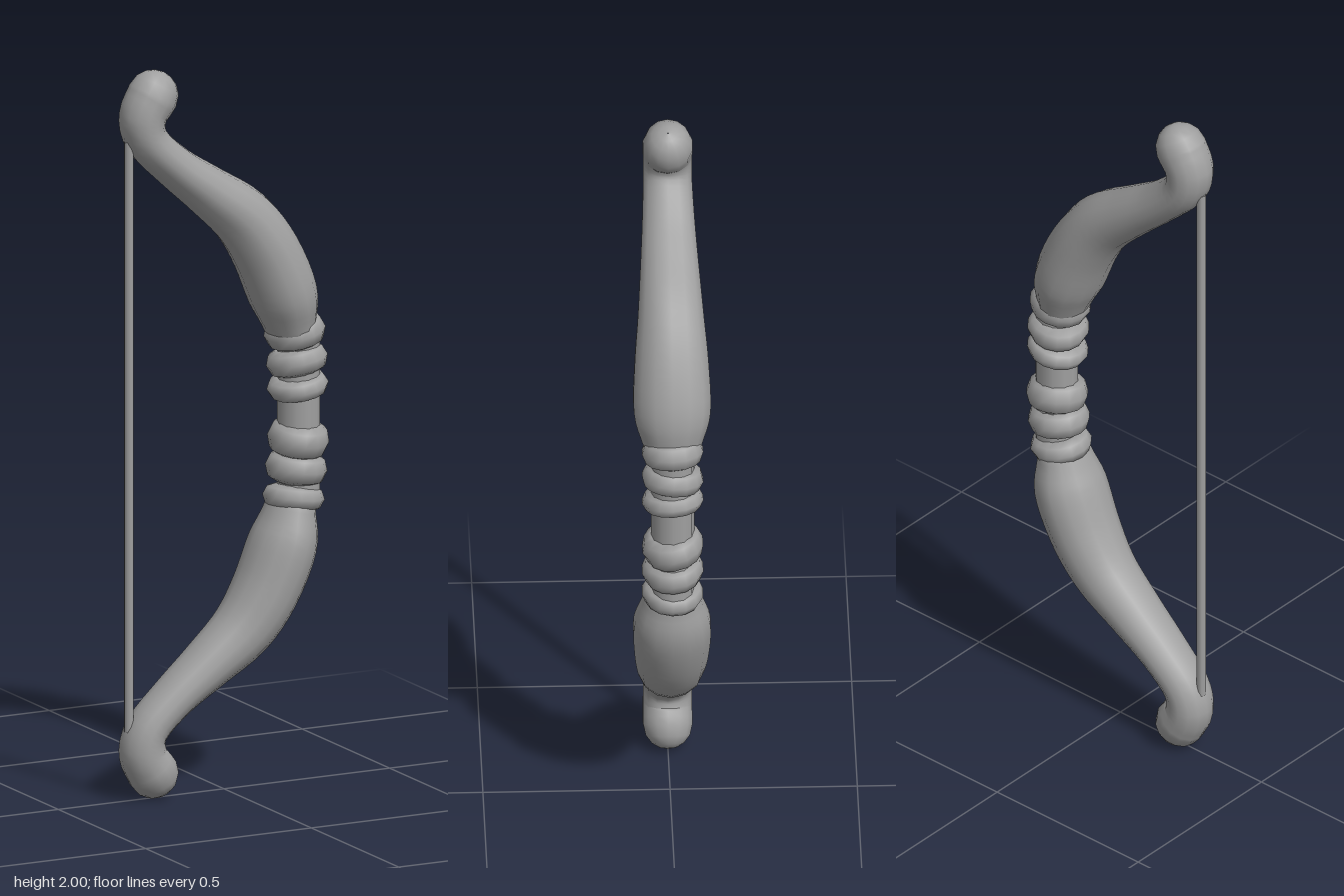
import * as THREE from 'three';

const grey = new THREE.MeshStandardMaterial({ color: 0xa0a0a0 });
grey.name = 'grey';

// Limb sections from tip to grip: centre x, centre y, half width in x-y, half depth in z
const SECTIONS = [
  [-0.215, 1.93, 0.07, 0.068],
  [-0.245, 1.875, 0.064, 0.067],
  [-0.232, 1.808, 0.057, 0.067],
  [-0.15, 1.727, 0.058, 0.072],
  [-0.05, 1.65, 0.069, 0.08],
  [0.055, 1.565, 0.084, 0.09],
  [0.125, 1.465, 0.091, 0.101],
  [0.178, 1.34, 0.091, 0.105],
  [0.2, 1.25, 0.068, 0.08],
];

// Loft elliptical rings along a curve in the x-y plane, with rounded ends
function loftLimb(sections, sides = 14, steps = 32) {
  const path = new THREE.CatmullRomCurve3(
    sections.map(([x, y]) => new THREE.Vector3(x, y, 0)), false, 'catmullrom');
  const size = new THREE.CatmullRomCurve3(
    sections.map(([, , w, d]) => new THREE.Vector3(w, d, 0)), false, 'catmullrom');
  const rings = [];
  const addRing = (t, push, scale) => {
    const T = path.getTangent(t);
    const s = size.getPoint(t);
    rings.push({ c: path.getPoint(t).addScaledVector(T, push * s.x), T, w: s.x * scale, d: s.y * scale });
  };
  const cap = [0.01, 0.22, 0.45, 0.7].map((f) => f * Math.PI / 2);
  cap.forEach((a) => addRing(0, -Math.cos(a), Math.sin(a)));
  for (let i = 0; i <= steps; i++) addRing(i / steps, 0, 1);
  [...cap].reverse().forEach((a) => addRing(1, Math.cos(a), Math.sin(a)));

  const positions = [], index = [];
  rings.forEach(({ c, T, w, d }, i) => {
    for (let j = 0; j < sides; j++) {
      const a = (j / sides) * Math.PI * 2;
      positions.push(c.x - T.y * w * Math.cos(a), c.y + T.x * w * Math.cos(a), d * Math.sin(a));
      if (i === rings.length - 1) continue;
      const p = i * sides + j, q = i * sides + (j + 1) % sides;
      index.push(p, q, p + sides, q, q + sides, p + sides);
    }
  });
  const geometry = new THREE.BufferGeometry();
  geometry.setAttribute('position', new THREE.Float32BufferAttribute(positions, 3));
  geometry.setIndex(index);
  geometry.computeVertexNormals();
  return geometry;
}

export function createModel() {
  const bow = new THREE.Group();
  bow.name = 'bow';
  const add = (name, geometry, x = 0, y = 0, z = 0) => {
    const mesh = new THREE.Mesh(geometry, grey);
    mesh.name = name;
    mesh.position.set(x, y, z);
    bow.add(mesh);
    return mesh;
  };

  // Curved limbs with curled tips, mirrored about the grip
  add('upperLimb', loftLimb(SECTIONS));
  add('lowerLimb', loftLimb(SECTIONS.map(([x, y, w, d]) => [x, 2 - y, w, d])));

  // Narrow grip and string
  add('grip', new THREE.CylinderGeometry(0.058, 0.058, 0.5, 12), 0.225, 1, 0);
  add('string', new THREE.CylinderGeometry(0.013, 0.013, 1.62, 8), -0.287, 1, 0);

  // Wrapped cord: x, y, thickness (half height), slope in x-y, slope in y-z
  const coils = [
    [0.213, 1.235, 0.04, 0.2, 0.04],
    [0.22, 1.155, 0.037, 0.17, -0.1],
    [0.222, 1.085, 0.03, 0.17, 0.06],
    [0.224, 0.94, 0.046, -0.08, 0.16],
    [0.218, 0.86, 0.041, -0.12, 0.04],
    [0.21, 0.78, 0.033, -0.14, -0.06],
  ];
  coils.forEach(([x, y, thick, slopeX, slopeZ], i) => {
    const ring = new THREE.TorusGeometry(0.05, 0.034, 8, 14);
    ring.rotateX(Math.PI / 2);
    ring.scale(1, thick / 0.034, 1);
    const coil = add(`gripCoil${i + 1}`, ring, x, y, 0);
    coil.rotation.set(slopeZ, 0, slopeX);
  });

  return bow;
}
